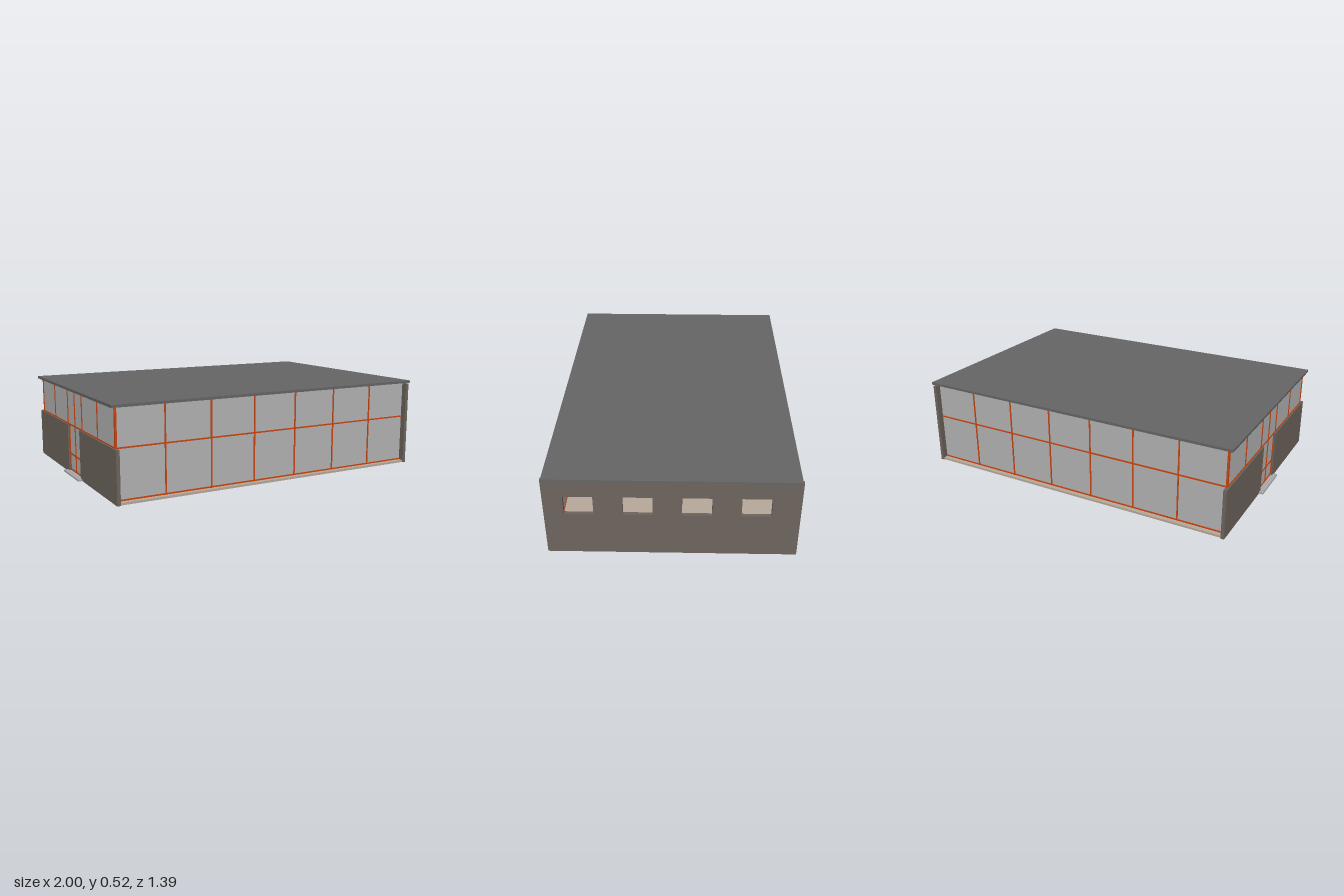
import * as THREE from 'three';

const mat = (color) => new THREE.MeshStandardMaterial({ color });

export function createModel() {
  const model = new THREE.Group();
  const wallMat = mat(0x6e655d), roofMat = mat(0x666666), glassMat = mat(0xb4b4b4);
  const frameMat = mat(0xcc4410), floorMat = mat(0xb8aa9c), stepMat = mat(0xa8a8a8);

  // Box given by its minimum and maximum on each axis
  const box = (name, material, x0, x1, y0, y1, z0, z1, parent = model) => {
    const mesh = new THREE.Mesh(new THREE.BoxGeometry(x1 - x0, y1 - y0, z1 - z0), material);
    mesh.position.set((x0 + x1) / 2, (y0 + y1) / 2, (z0 + z1) / 2);
    mesh.name = name;
    parent.add(mesh);
  };

  const floorTop = 0.013, ceiling = 0.508, lowTop = 0.293;
  const doorHalf = 0.108, bar = 0.004;

  // Slabs and doorstep
  box('floor', floorMat, -0.957, 0.962, 0, floorTop, -0.685, 0.685);
  box('roof', roofMat, -0.99, 1, ceiling, 0.523, -0.68, 0.68);
  box('doorStep', stepMat, -1, -0.957, 0, 0.01, -0.135, 0.135);

  // Full-height end wall with four open windows
  const outline = new THREE.Shape();
  outline.moveTo(-0.69, 0).lineTo(0.69, 0).lineTo(0.69, 0.505).lineTo(-0.69, 0.505).closePath();
  for (let i = 0; i < 4; i++) {
    const z = 0.5 - i * 0.318;
    const hole = new THREE.Path();
    hole.moveTo(z - 0.08, 0.275).lineTo(z - 0.08, 0.393);
    hole.lineTo(z + 0.08, 0.393).lineTo(z + 0.08, 0.275).closePath();
    outline.holes.push(hole);
  }
  const wallGeometry = new THREE.ExtrudeGeometry(outline, { depth: 0.02, bevelEnabled: false });
  wallGeometry.rotateY(-Math.PI / 2).translate(0.98, 0, 0);
  const endWall = new THREE.Mesh(wallGeometry, wallMat);
  endWall.name = 'windowWall';
  model.add(endWall);

  // Low wall on the entrance side, either side of the door
  box('lowWallFront', wallMat, -0.975, -0.955, 0, lowTop, doorHalf, 0.693);
  box('lowWallBack', wallMat, -0.975, -0.955, 0, lowTop, -0.693, -doorHalf);

  // Long glass facades with a grid of thin bars
  for (const side of [1, -1]) {
    const facade = new THREE.Group();
    facade.name = side > 0 ? 'frontFacade' : 'backFacade';
    model.add(facade);
    const z = side * 0.654;
    box('facadeGlass', glassMat, -0.96, 0.96, floorTop, ceiling, z - 0.002, z + 0.002, facade);
    for (let i = 1; i < 7; i++) {
      const x = -0.96 + i * 0.275;
      box('facadeMullion', frameMat, x - bar, x + bar, floorTop, ceiling, z - 0.006, z + 0.006, facade);
    }
    for (const y of [0.018, 0.295]) {
      box('facadeRail', frameMat, -0.96, 0.96, y - bar, y + bar, z - 0.006, z + 0.006, facade);
    }
    // Corner post above the low wall
    box('cornerPost', frameMat, -0.966, -0.955, lowTop, ceiling, z - 0.006, z + 0.006, facade);
  }

  // Glass band above the low wall
  const entrance = new THREE.Group();
  entrance.name = 'entranceSide';
  model.add(entrance);
  box('bandGlass', glassMat, -0.962, -0.958, lowTop, ceiling, -0.654, 0.654, entrance);
  box('bandRail', frameMat, -0.966, -0.954, 0.291, 0.299, -0.654, 0.654, entrance);
  for (const z of [-0.392, -0.13, 0, 0.13, 0.392]) {
    box('bandMullion', frameMat, -0.966, -0.954, lowTop, ceiling, z - bar, z + bar, entrance);
  }

  // Glazed double door
  box('doorGlass', glassMat, -0.962, -0.958, floorTop, lowTop, -doorHalf, doorHalf, entrance);
  for (const z of [-doorHalf + bar, 0, doorHalf - bar]) {
    box('doorPost', frameMat, -0.966, -0.954, floorTop, lowTop, z - bar, z + bar, entrance);
  }
  for (const y of [0.018, 0.115]) {
    box('doorRail', frameMat, -0.966, -0.954, y - bar, y + bar, -doorHalf, doorHalf, entrance);
  }

  return model;
}
